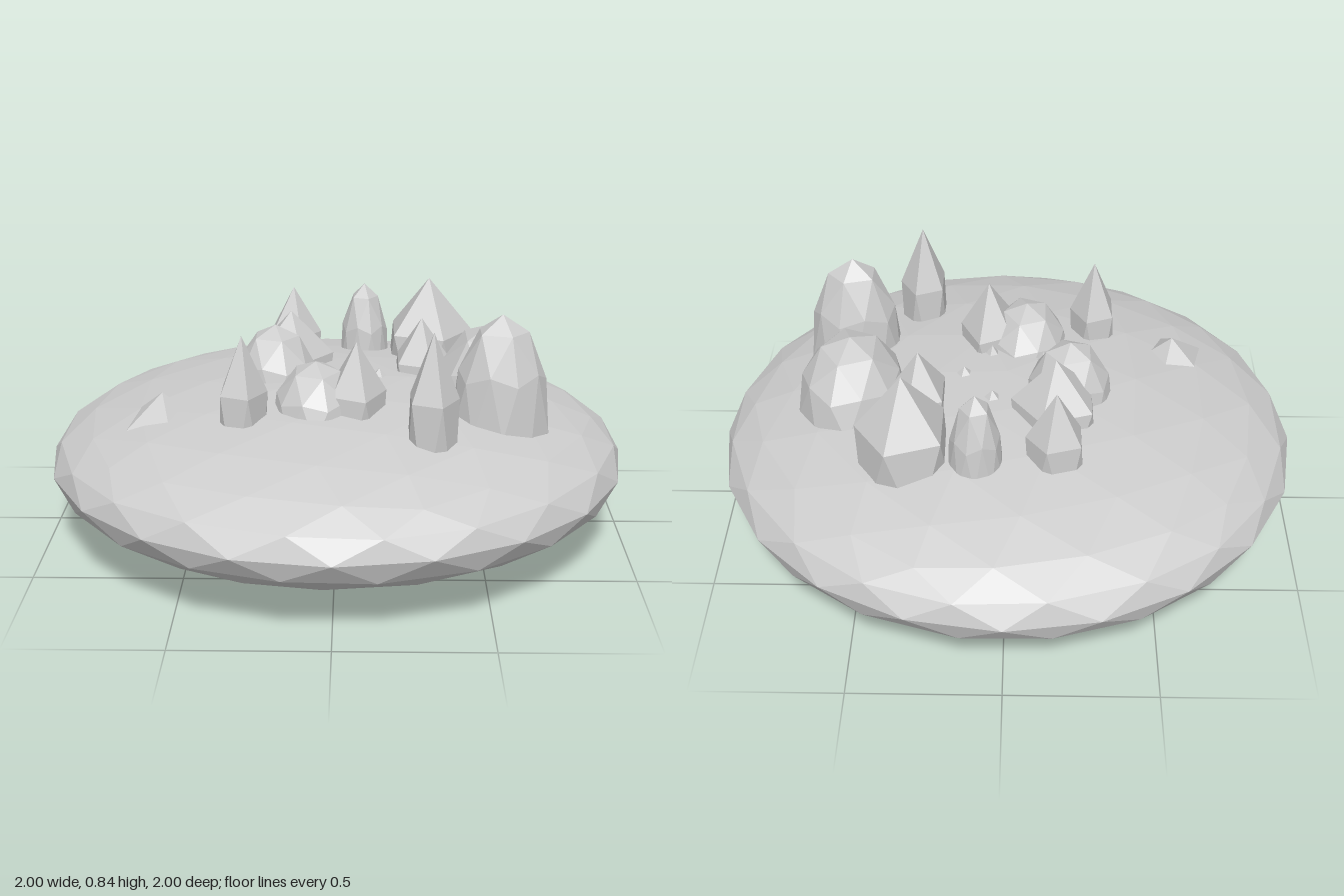
import * as THREE from 'three';

const stone = new THREE.MeshStandardMaterial({ color: 0xcccccc, flatShading: true });
stone.name = 'grey stone';

// Faceted ball standing on one of its vertices, stretched to the given radii
function facetedBall(name, detail, [x, y, z], [rx, ry, rz]) {
  const geometry = new THREE.IcosahedronGeometry(1, detail);
  geometry.rotateX(-Math.atan((1 + Math.sqrt(5)) / 2)); // a vertex points up
  geometry.rotateY(Math.PI / 2); // upper ring starts at +x
  geometry.scale(rx, ry, rz);
  geometry.translate(x, y, z);
  geometry.computeVertexNormals();
  const mesh = new THREE.Mesh(geometry, stone);
  mesh.name = name;
  return mesh;
}

// Rocks are sunk into the island: x, z, radius x, radius z, top height
const CORE = 0.45;
const crystals = [
  [-0.165, -0.42, 0.112, 0.11, 0.757],
  [0.335, -0.395, 0.178, 0.195, 0.8],
  [-0.165, -0.19, 0.168, 0.17, 0.73],
  [0.3, -0.135, 0.115, 0.145, 0.72],
  [0.315, 0.475, 0.096, 0.122, 0.845],
  [0.07, 0.26, 0.112, 0.17, 0.75],
  [-0.305, 0.335, 0.093, 0.12, 0.79],
];
const boulders = [
  [0.097, -0.445, 0.095, 0.1, 0.765],
  [-0.215, -0.06, 0.157, 0.157, 0.715],
  [0.535, -0.05, 0.193, 0.235, 0.722],
  [0.55, 0.26, 0.168, 0.138, 0.845],
  [-0.065, 0.245, 0.155, 0.187, 0.677],
];
// Small tips barely breaking the surface
const shards = [
  [0.05, -0.145, 0.075, 0.075, 0.575],
  [0.15, -0.005, 0.075, 0.075, 0.575],
  [-0.125, 0.08, 0.06, 0.06, 0.58],
  [0.055, 0.12, 0.06, 0.06, 0.58],
];

export function createModel() {
  const model = new THREE.Group();
  model.name = 'rockyIsland';

  // Flattened island body
  model.add(facetedBall('islandBody', 3, [0, 0.277, 0], [1, 0.277, 1]));

  const addRocks = (name, detail, list) => {
    const group = new THREE.Group();
    group.name = name + 's';
    for (const [x, z, rx, rz, top] of list) {
      group.add(facetedBall(name, detail, [x, CORE, z], [rx, top - CORE, rz]));
    }
    model.add(group);
  };
  addRocks('crystal', 0, crystals);
  addRocks('boulder', 1, boulders);
  addRocks('shard', 0, shards);

  // Half-buried flat crystal on the slope
  model.add(facetedBall('slopeCrystal', 0, [-0.585, 0.365, 0.215], [0.156, 0.19, 0.18]));

  return model;
}
